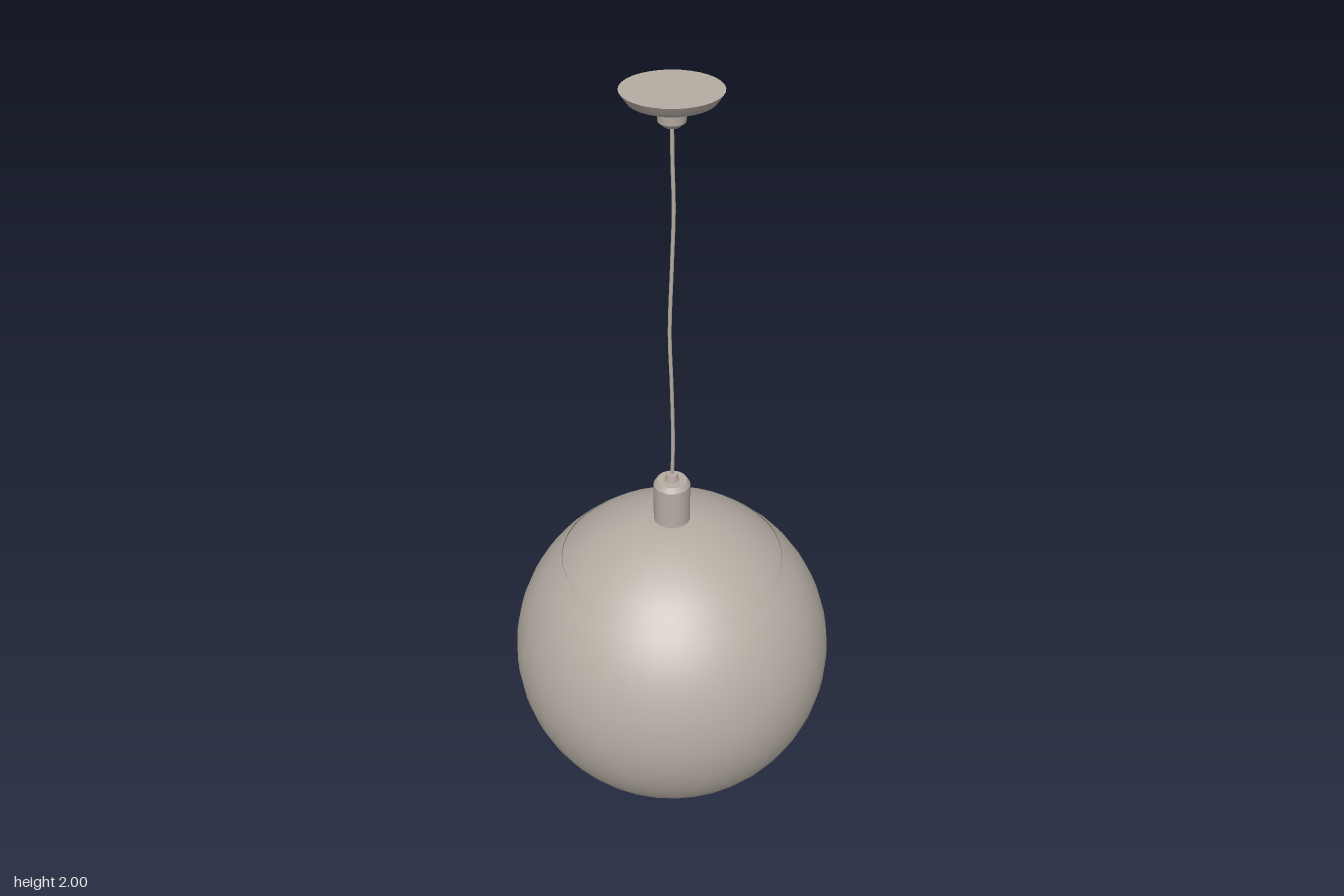
import * as THREE from 'three';

export function createModel() {
  const group = new THREE.Group();
  group.name = 'pendantLamp';
  const metal = new THREE.MeshStandardMaterial({ color: 0xb5aca3, side: THREE.DoubleSide });
  metal.name = 'warm grey metal';

  const add = (name, geometry, y = 0) => {
    const mesh = new THREE.Mesh(geometry, metal);
    mesh.name = name;
    mesh.position.y = y;
    group.add(mesh);
    return mesh;
  };
  const lathe = (name, points, segments = 32) =>
    add(name, new THREE.LatheGeometry(points.map(([r, y]) => new THREE.Vector2(r, y)), segments));

  // Points on the globe outline between two heights
  const R = 0.452, CY = 0.322;
  const arc = (y0, y1, n) => {
    const a0 = Math.asin((y0 - CY) / R), a1 = Math.asin((y1 - CY) / R);
    return Array.from({ length: n + 1 }, (_, i) => {
      const a = a0 + (a1 - a0) * i / n;
      return [R * Math.cos(a), CY + R * Math.sin(a)];
    });
  };

  // Open-bottomed shade and its separate shallow cap
  lathe('shade', arc(0, 0.652, 16), 40);
  lathe('shadeCap', [[0.307, 0.65], [0.27, 0.685], [0.22, 0.719], [0.16, 0.749],
    [0.1, 0.769], [0.05, 0.776], [0, 0.777]], 40);

  // Lamp holder with a softened top edge
  add('holderBody', new THREE.CylinderGeometry(0.05, 0.05, 0.125, 24), 0.8275);
  add('holderTop', new THREE.CylinderGeometry(0.041, 0.05, 0.014, 24), 0.897);
  add('cordGrip', new THREE.CylinderGeometry(0.015, 0.02, 0.022, 12), 0.913);

  // Slightly wavy hanging cord
  const path = new THREE.CatmullRomCurve3([
    [0, 0.9, 0], [0.002, 1.02, -0.002], [0, 1.2, 0.001], [-0.004, 1.36, 0.004],
    [0, 1.55, 0], [0.003, 1.7, -0.003], [0, 1.82, -0.002], [0, 1.92, 0],
  ].map(p => new THREE.Vector3(...p)));
  add('cord', new THREE.TubeGeometry(path, 48, 0.005, 8));

  // Ceiling canopy: flat top, sloping side, flatter underside
  lathe('canopySide', [[0.09, 1.967], [0.106, 1.974], [0.115, 1.986], [0.124, 2]]);
  lathe('canopyUnderside', [[0, 1.949], [0.035, 1.95], [0.06, 1.958], [0.09, 1.967]]);
  const top = add('canopyTop', new THREE.CircleGeometry(0.124, 32), 2);
  top.rotation.x = -Math.PI / 2;

  // Collar where the cord leaves the canopy
  add('canopyCollar', new THREE.CylinderGeometry(0.036, 0.034, 0.03, 24), 1.938);
  add('canopyCollarTip', new THREE.CylinderGeometry(0.034, 0.02, 0.012, 24), 1.917);

  return group;
}
